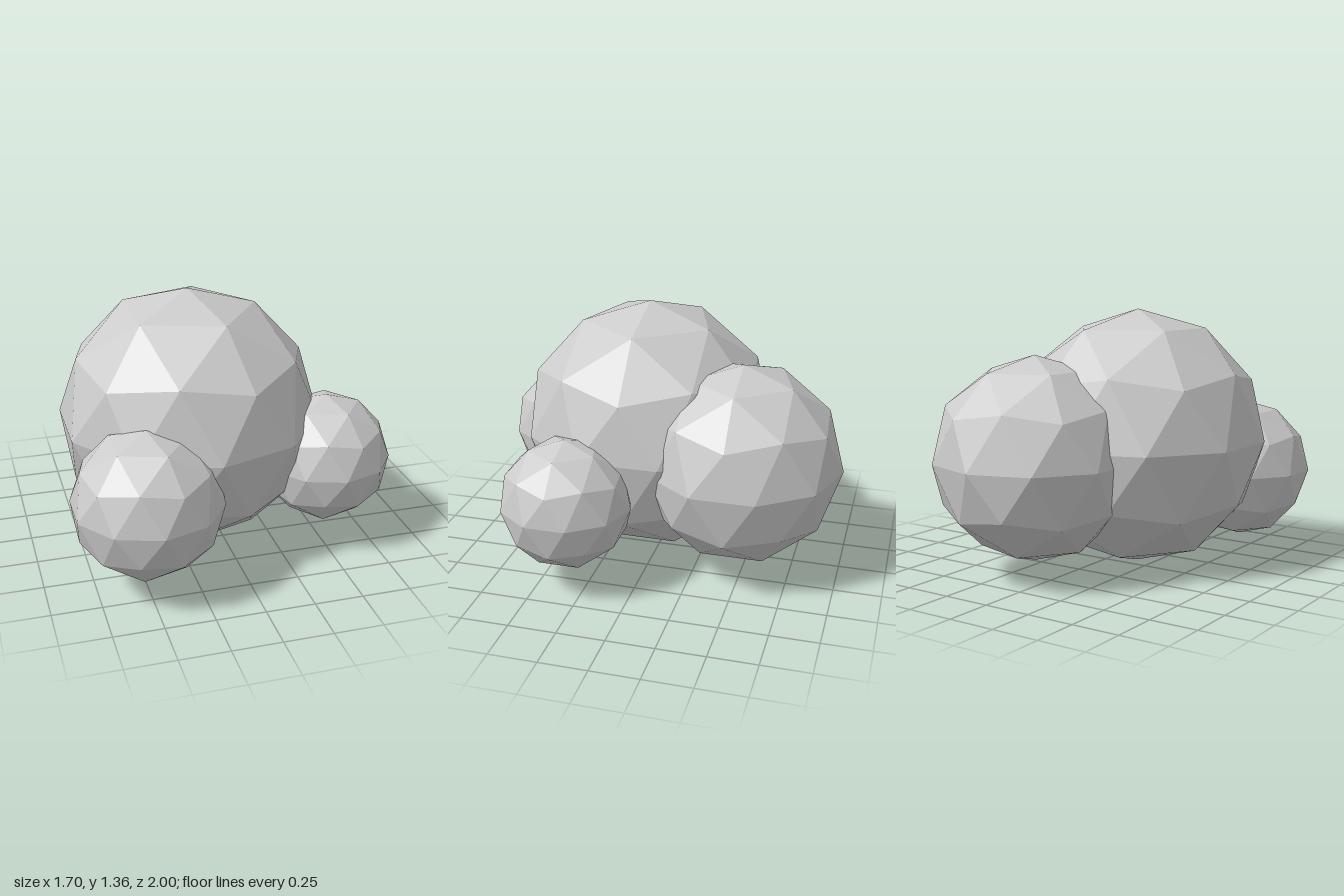
import * as THREE from 'three';

const material = new THREE.MeshStandardMaterial({ color: 0xcccccc, flatShading: true });

// 80-sided faceted ball with one vertex straight up and an upper-ring vertex towards +x
function facetedBall(name, radius, x, y, z) {
  const geometry = new THREE.IcosahedronGeometry(radius, 1);
  geometry.rotateZ(-Math.atan(2 / (1 + Math.sqrt(5))));
  geometry.computeVertexNormals();
  const mesh = new THREE.Mesh(geometry, material);
  mesh.name = name;
  mesh.position.set(x, y, z);
  return mesh;
}

export function createModel() {
  const group = new THREE.Group();
  group.name = 'bushCluster';
  group.add(
    // large central clump
    facetedBall('mainClump', 0.68, -0.147, 0.68, 0.088),
    // medium clump behind it
    facetedBall('backClump', 0.528, 0.112, 0.613, -0.472),
    // two small clumps at the front corners
    facetedBall('frontRightClump', 0.38, -0.488, 0.47, 0.62),
    facetedBall('frontLeftClump', 0.342, 0.523, 0.468, 0.35),
  );
  return group;
}
